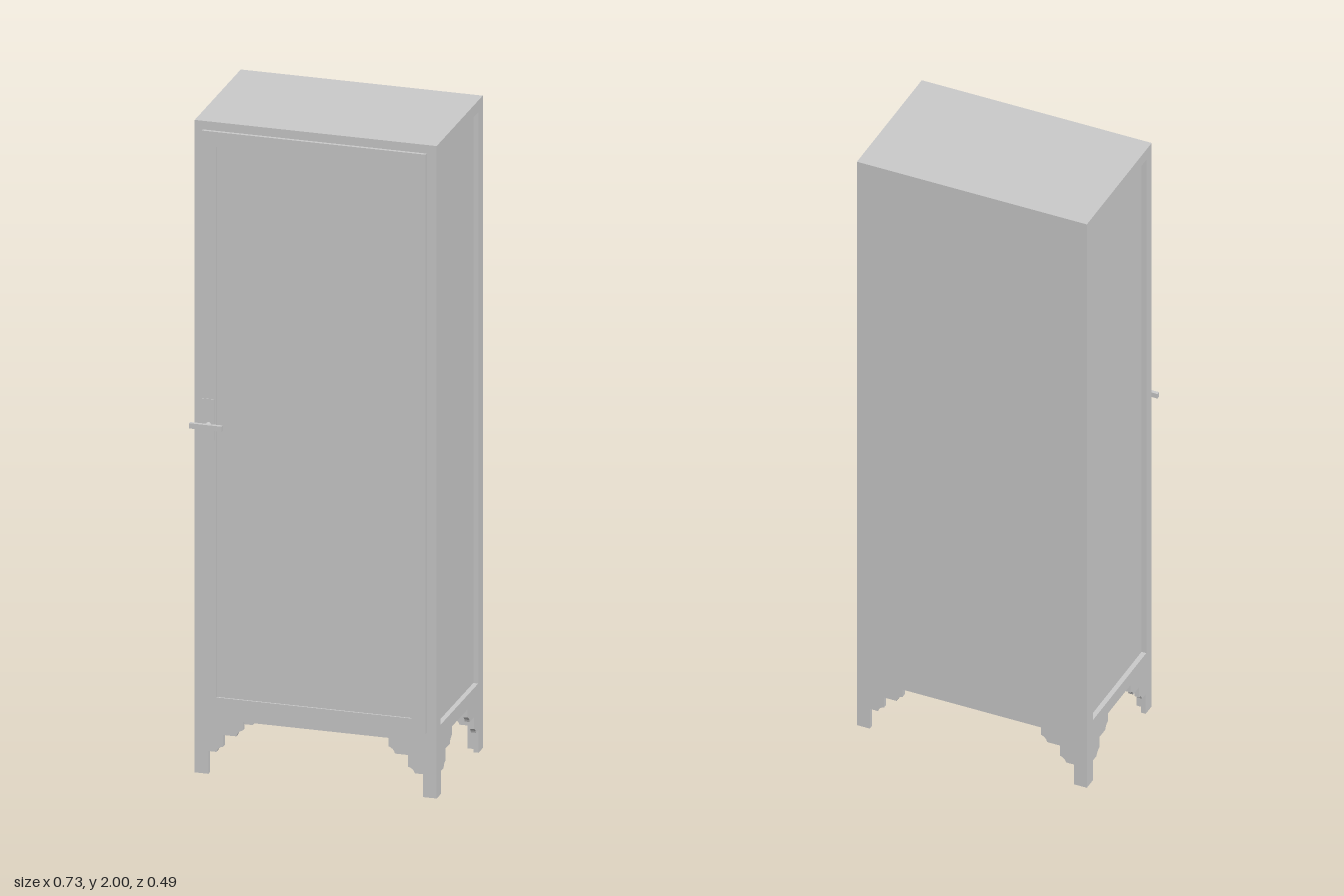
import * as THREE from 'three';

const HX = 0.365, ZB = -0.245, ZF = 0.197, TOP = 2, BASE = 0.17;

export function createModel() {
  const group = new THREE.Group();
  const metal = new THREE.MeshStandardMaterial({ color: 0xcccccc, flatShading: true });
  const glass = new THREE.MeshStandardMaterial({ color: 0xf5f5f5, flatShading: true });

  const add = (name, geometry, material = metal) => {
    const mesh = new THREE.Mesh(geometry, material);
    mesh.name = name;
    group.add(mesh);
    return mesh;
  };
  // Box given by its limits on each axis
  const box = (name, x0, x1, y0, y1, z0, z1, material) => {
    const mesh = add(name, new THREE.BoxGeometry(x1 - x0, y1 - y0, z1 - z0), material);
    mesh.position.set((x0 + x1) / 2, (y0 + y1) / 2, (z0 + z1) / 2);
  };
  const rect = (Type, x0, x1, y0, y1) => new Type([
    new THREE.Vector2(x0, y0), new THREE.Vector2(x1, y0),
    new THREE.Vector2(x1, y1), new THREE.Vector2(x0, y1),
  ]);
  // Flat frame in the xy plane: outer and inner limits [x0, x1, y0, y1]
  const frame = (outer, inner, depth) => {
    const shape = rect(THREE.Shape, ...outer);
    shape.holes.push(rect(THREE.Path, ...inner));
    return new THREE.ExtrudeGeometry(shape, { depth, bevelEnabled: false });
  };

  // Carcass: back, top and bottom panels between the framed sides
  const t = 0.02;
  box('backPanel', -HX + t, HX - t, BASE, TOP, ZB, ZB + t);
  box('topPanel', -HX + t, HX - t, TOP - t, TOP, ZB + t, ZF - t);
  box('bottomPanel', -HX + t, HX - t, BASE, BASE + 0.03, ZB + t, ZF - t);
  add('frontFrame', frame([-HX + t, HX - t, BASE, TOP], [-0.325, 0.325, 0.215, 1.96], t))
    .position.z = ZF - t;

  // Glazed sides
  for (const s of [-1, 1]) {
    const side = frame([-ZF, -ZB, BASE, TOP], [-0.16, 0.202, 0.213, 1.964], t);
    side.rotateY(Math.PI / 2);
    add(s > 0 ? 'leftSideFrame' : 'rightSideFrame', side).position.x = s > 0 ? HX - t : -HX;
    const x = s * (HX - 0.018);
    box(s > 0 ? 'leftGlass' : 'rightGlass', x - 0.003, x + 0.003, 0.203, 1.974, -0.212, 0.17, glass);
  }

  // Stepped bracket profile, running inward from the corner
  const bracket = new THREE.Shape();
  bracket.moveTo(0, 0);
  bracket.lineTo(0.041, 0);
  bracket.lineTo(0.041, 0.07);
  bracket.lineTo(0.066, 0.07);
  bracket.quadraticCurveTo(0.07, 0.085, 0.086, 0.088);
  bracket.lineTo(0.086, 0.124);
  bracket.lineTo(0.126, 0.124);
  bracket.quadraticCurveTo(0.13, 0.14, 0.145, 0.144);
  bracket.lineTo(0.145, BASE);
  bracket.lineTo(0, BASE);
  const plate = new THREE.ExtrudeGeometry(bracket, { depth: 0.015, bevelEnabled: false, curveSegments: 4 });

  // Four legs, each an angle of two bracket plates
  for (const sx of [-1, 1]) for (const sz of [-1, 1]) {
    const leg = new THREE.Group();
    leg.name = (sz > 0 ? 'front' : 'back') + (sx > 0 ? 'Left' : 'Right') + 'Leg';
    const z = sz > 0 ? ZF : ZB;
    const across = new THREE.Mesh(plate, metal);
    across.name = 'bracketAcross';
    if (sx > 0) across.rotation.y = Math.PI;
    across.position.set(sx * HX, 0, z + (sx > 0 ? 0.015 : 0) - (sz > 0 ? 0.015 : 0));
    const along = new THREE.Mesh(plate, metal);
    along.name = 'bracketAlong';
    along.rotation.y = sz * Math.PI / 2;
    // Rotated plate spans +x for the front legs and -x for the back ones
    const x0 = sx > 0 ? HX - 0.015 : -HX;
    along.position.set(sz > 0 ? x0 : x0 + 0.015, 0, z);
    leg.add(across, along);
    group.add(leg);
  }

  // Glazed door standing just proud of the carcass
  add('doorFrame', frame([-0.339, 0.337, 0.2, 1.976], [-0.295, 0.294, 0.243, 1.93], 0.01))
    .position.z = 0.203;
  box('doorGlass', -0.3, 0.3, 0.238, 1.935, 0.204, 0.208, glass);

  // Lever handle on its escutcheon
  box('handlePlate', -0.337, -0.301, 1.03, 1.156, 0.212, 0.215);
  const stem = add('handleStem', new THREE.CylinderGeometry(0.008, 0.008, 0.022, 16));
  stem.rotation.x = Math.PI / 2;
  stem.position.set(-0.318, 1.078, 0.223);
  box('handleLever', -0.367, -0.269, 1.07, 1.086, 0.232, 0.243);

  return group;
}
